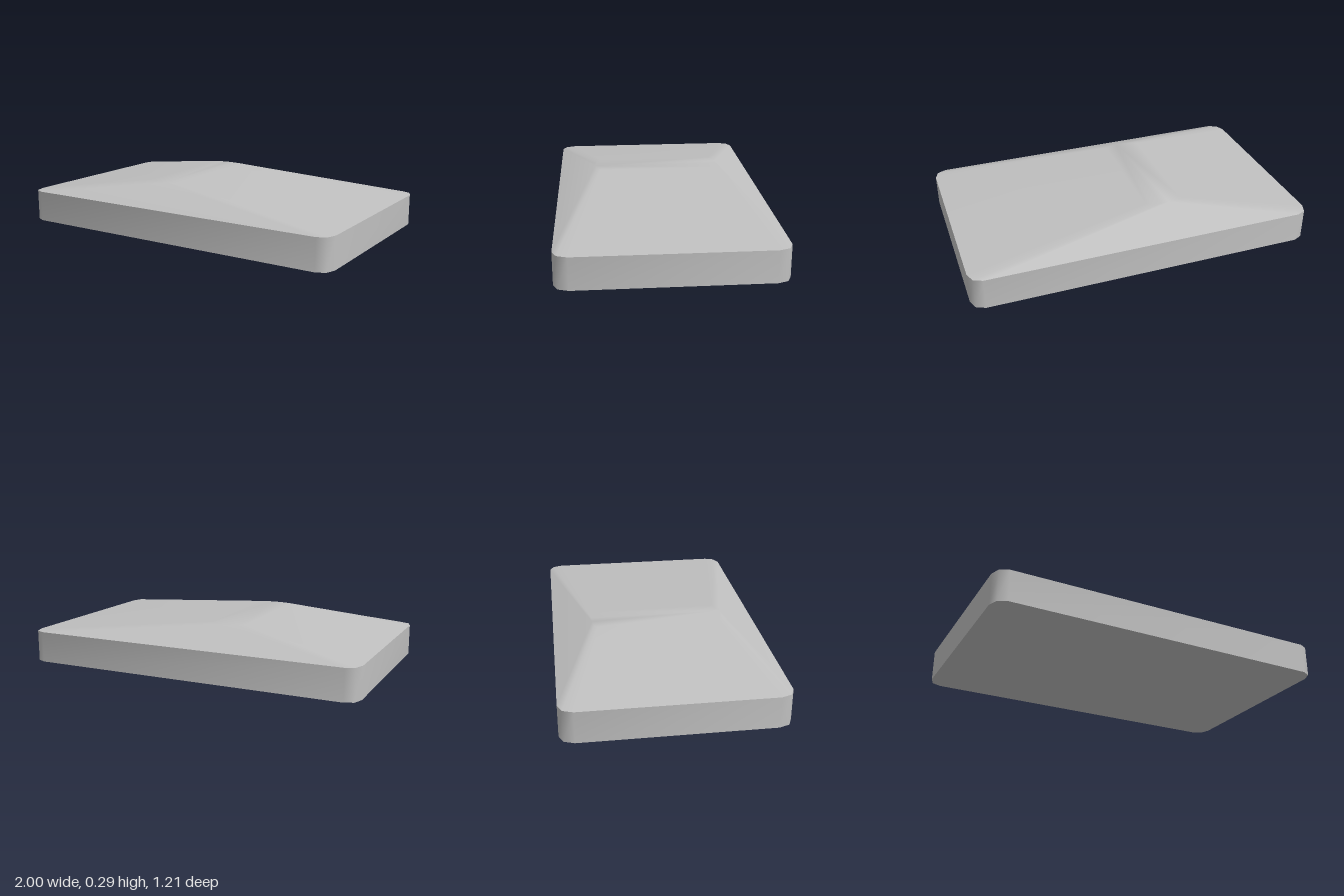
import * as THREE from 'three';
import { toCreasedNormals } from 'three/addons/utils/BufferGeometryUtils.js';

const EAVE = 0.18, PEAK = 0.287;

// Closed rounded rectangle at height y; rx, rz are the corner radii, two facets per corner
function roundedLoop(x0, x1, halfZ, rx, rz, y) {
  const points = [];
  const corners = [[x1 - rx, halfZ - rz], [x1 - rx, -halfZ + rz], [x0 + rx, -halfZ + rz], [x0 + rx, halfZ - rz]];
  corners.forEach(([cx, cz], k) => {
    for (let i = 0; i <= 2; i++) {
      const a = (k + i / 2) * Math.PI / 2;
      points.push([cx + Math.sin(a) * rx, y, cz + Math.cos(a) * rz]);
    }
  });
  return points;
}

// Joins two loops with a band of quads, optionally capping the second loop
function bridge(lower, upper, capped) {
  const n = lower.length, index = [];
  for (let i = 0; i < n; i++) {
    const j = (i + 1) % n;
    index.push(i, j, n + j, i, n + j, n + i);
  }
  if (capped) for (let i = 1; i < n - 1; i++) index.push(n, n + i, n + i + 1);
  return build([...lower, ...upper], index);
}

function build(points, index) {
  const geometry = new THREE.BufferGeometry();
  geometry.setAttribute('position', new THREE.Float32BufferAttribute(points.flat(), 3));
  geometry.setIndex(index);
  geometry.computeVertexNormals();
  return geometry;
}

export function createModel() {
  const group = new THREE.Group();
  group.name = 'slab';
  const grey = new THREE.MeshStandardMaterial({ color: 0xc0c0c0 });
  grey.name = 'grey';
  const add = (name, geometry) => {
    const mesh = new THREE.Mesh(geometry, grey);
    mesh.name = name;
    group.add(mesh);
  };

  const foot = roundedLoop(-1, 1, 0.605, 0.072, 0.08, 0);
  const eave = roundedLoop(-1, 1, 0.605, 0.072, 0.08, EAVE);
  const ridge = roundedLoop(-0.28, -0.07, 0.38, 0.08, 0.03, PEAK);

  // Upright rim with softened corners
  add('rim', toCreasedNormals(bridge(foot, eave, false), 0.87));

  // Off-centre hipped top, smoothly shaded across its narrow ridge
  add('slopedTop', bridge(eave, ridge, true));

  // Flat underside
  const fan = [];
  for (let i = 1; i < foot.length - 1; i++) fan.push(0, i + 1, i);
  add('underside', build(foot, fan));

  return group;
}
